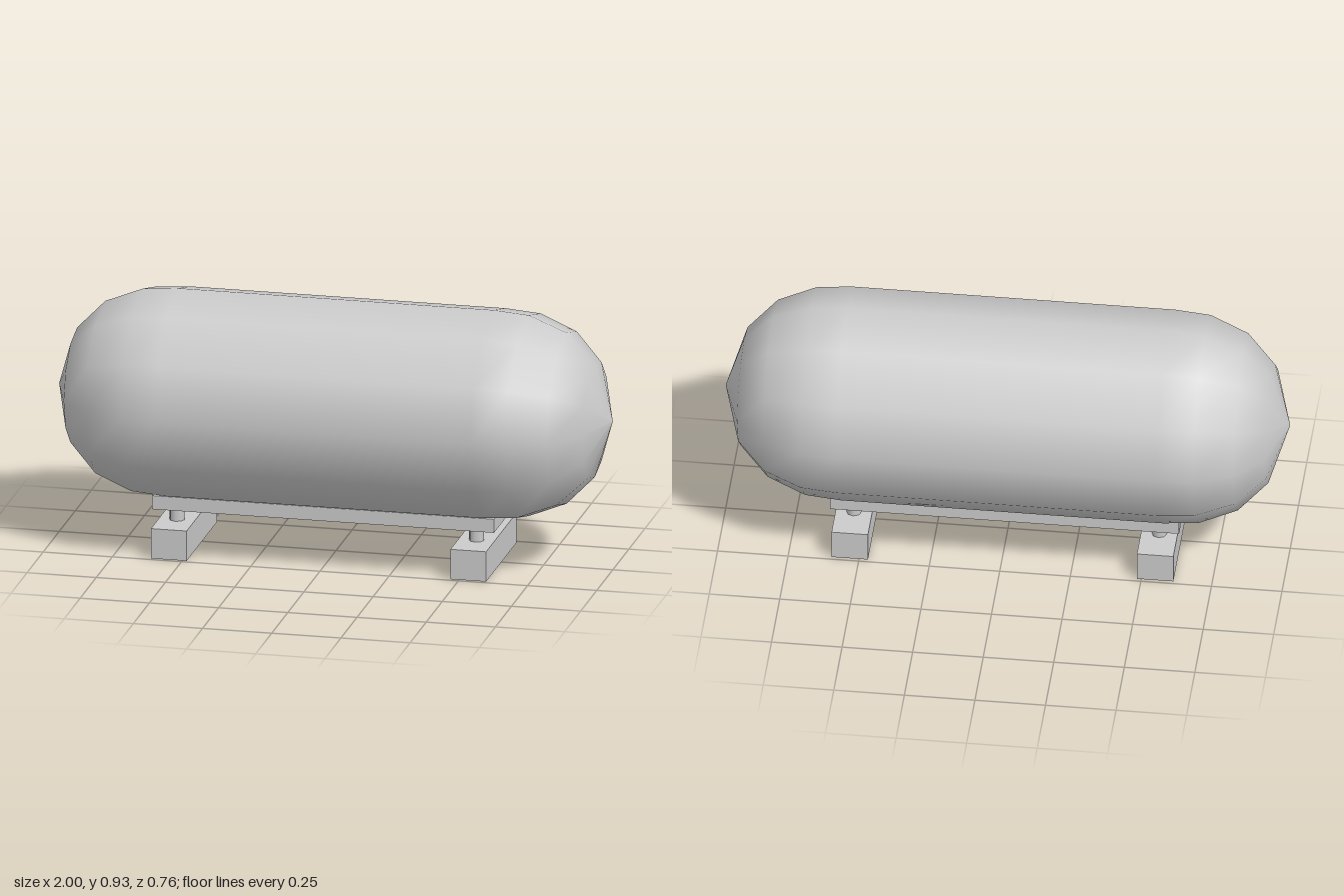
import * as THREE from 'three';

const material = new THREE.MeshStandardMaterial({ color: 0xcccccc });

export function createModel() {
  const model = new THREE.Group();
  model.name = 'storageTank';

  const add = (name, geometry, x, y, z) => {
    const mesh = new THREE.Mesh(geometry, material);
    mesh.name = name;
    mesh.position.set(x, y, z);
    model.add(mesh);
    return mesh;
  };

  // Twelve-sided tank with domed ends: radius and distance along the axis
  const dome = [[0, 1], [0.21, 0.935], [0.315, 0.833], [0.37, 0.697], [0.38, 0.57]];
  const profile = [
    ...dome.map(([r, a]) => new THREE.Vector2(r, -a)),
    ...dome.slice().reverse().map(([r, a]) => new THREE.Vector2(r, a)),
  ];
  const tank = add('tank', new THREE.LatheGeometry(profile, 12), 0, 0.547, 0);
  tank.rotation.z = -Math.PI / 2;

  // Base plate under the tank; the whole stand sits slightly off centre
  const standX = -0.008;
  add('basePlate', new THREE.BoxGeometry(1.236, 0.05, 0.338), standX, 0.185, 0);

  // Crosswise feet, each carrying two short posts
  for (const [side, sx] of [['left', 1], ['right', -1]]) {
    const x = standX + sx * 0.541;
    add(side + 'Foot', new THREE.BoxGeometry(0.129, 0.11, 0.474), x, 0.055, 0);
    for (const [end, sz] of [['Front', 1], ['Back', -1]]) {
      add(side + end + 'Post', new THREE.CylinderGeometry(0.027, 0.027, 0.06, 8), x, 0.135, sz * 0.108);
    }
  }

  return model;
}
